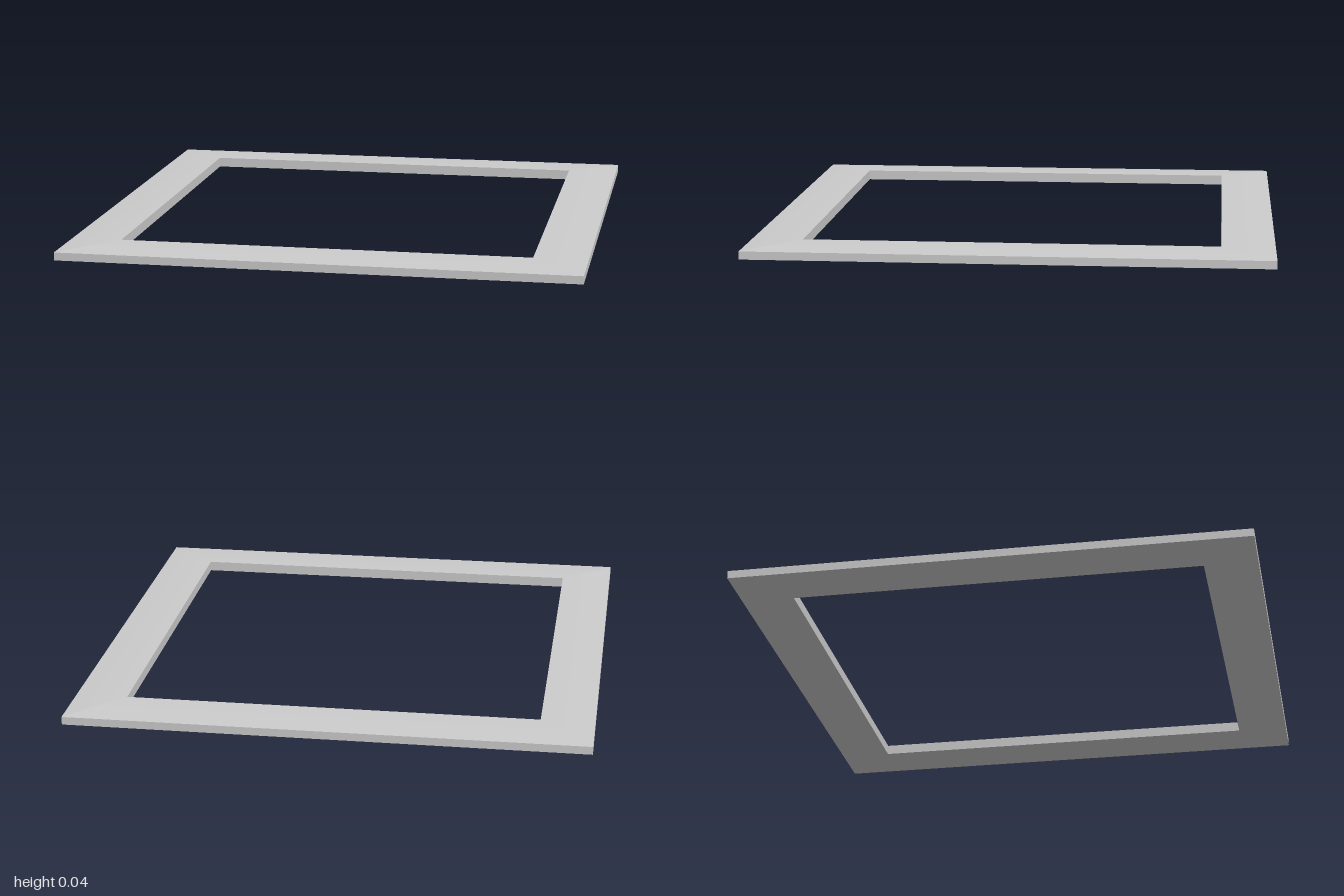
import * as THREE from 'three';
import { toCreasedNormals } from 'three/addons/utils/BufferGeometryUtils.js';

const OUTER = 1, INNER = 0.795, EDGE = 0.031, CROWN = 0.04;

// Cross-section as [distance from centre, height]: upright sides, gently crowned top
function railProfile(steps = 8) {
  const points = [[OUTER, 0]];
  for (let i = 0; i <= steps; i++) {
    const t = i / steps;
    points.push([
      THREE.MathUtils.lerp(OUTER, INNER, t),
      EDGE + (CROWN - EDGE) * Math.sin(t * Math.PI / 2),
    ]);
  }
  points.push([INNER, 0]);
  return points;
}

// One rail along the front, its ends mitred at 45 degrees
function railGeometry() {
  const profile = railProfile();
  const positions = [], index = [];
  for (const [d, y] of profile) positions.push(-d, y, d, d, y, d);
  const n = profile.length;
  for (let i = 0; i < n; i++) {
    const a = 2 * i, b = 2 * ((i + 1) % n);
    index.push(a, a + 1, b + 1, a, b + 1, b);
  }
  const geometry = new THREE.BufferGeometry();
  geometry.setAttribute('position', new THREE.Float32BufferAttribute(positions, 3));
  geometry.setIndex(index);
  return toCreasedNormals(geometry, Math.PI / 6);
}

export function createModel() {
  const model = new THREE.Group();
  model.name = 'squareFrame';
  const material = new THREE.MeshStandardMaterial({ color: 0xcccccc });
  const geometry = railGeometry();

  // Four identical rails around the opening
  ['frontRail', 'leftRail', 'backRail', 'rightRail'].forEach((name, i) => {
    const rail = new THREE.Mesh(geometry, material);
    rail.name = name;
    rail.rotation.y = i * Math.PI / 2;
    model.add(rail);
  });
  return model;
}
